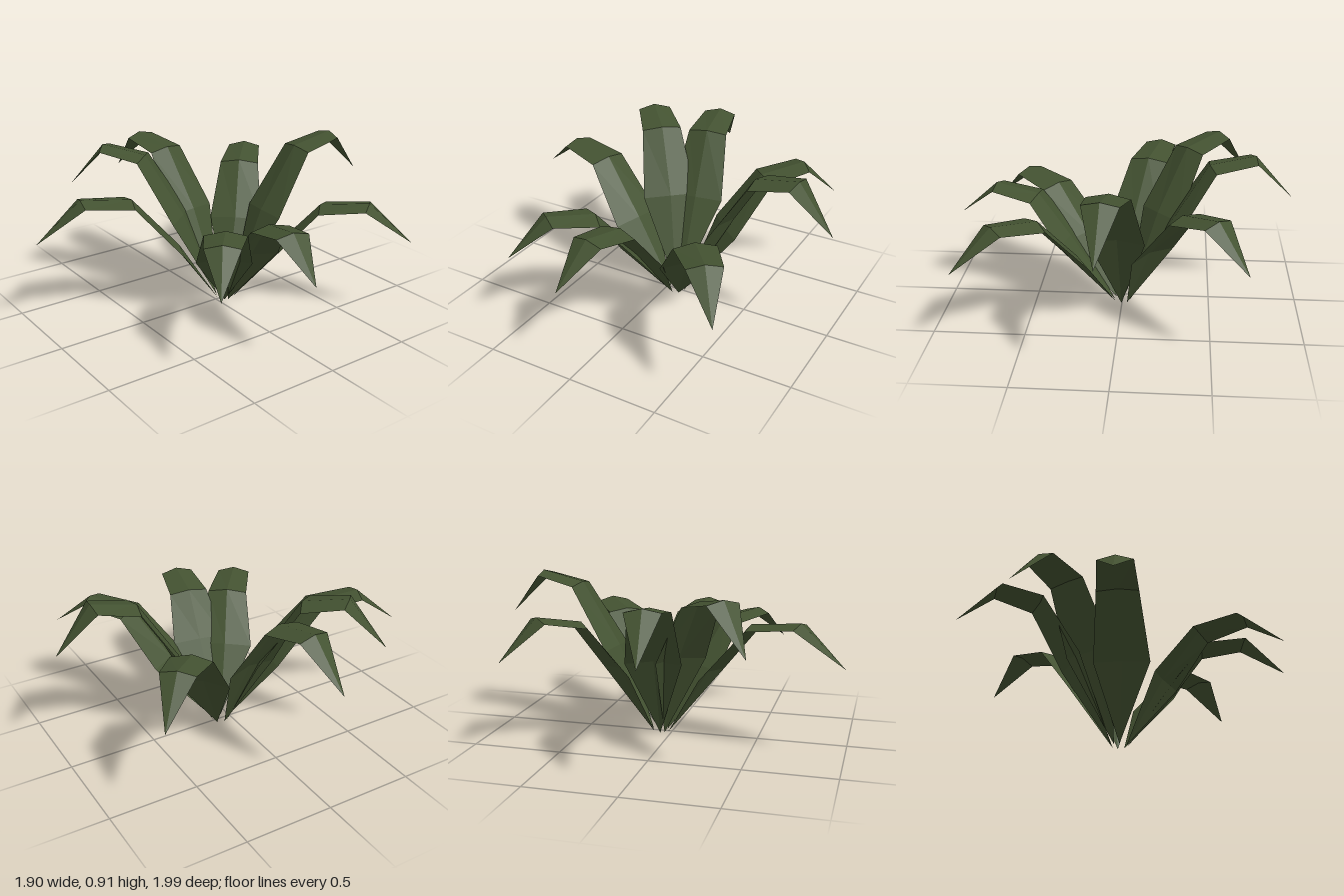
import * as THREE from 'three';

// Leaf midlines: widest point, shoulder, crest, drooping tip
const LEAVES = {
  backLeaf: [[0.015, 0.485, -0.34], [0.035, 0.835, -0.56], [0.055, 0.885, -0.785], [0.07, 0.65, -1]],
  backLeftLeaf: [[0.25, 0.35, -0.27], [0.435, 0.61, -0.41], [0.63, 0.64, -0.565], [0.83, 0.46, -0.715]],
  leftLeaf: [[0.32, 0.37, -0.02], [0.495, 0.605, 0.01], [0.72, 0.645, 0.05], [0.95, 0.465, 0.09]],
  frontLeftLeaf: [[0.23, 0.34, 0.11], [0.405, 0.59, 0.23], [0.595, 0.62, 0.39], [0.775, 0.44, 0.53]],
  frontLeaf: [[-0.05, 0.37, 0.24], [-0.125, 0.665, 0.485], [-0.19, 0.695, 0.74], [-0.25, 0.5, 0.99]],
  frontRightLeaf: [[-0.21, 0.48, 0.105], [-0.365, 0.82, 0.25], [-0.535, 0.865, 0.4], [-0.7, 0.63, 0.55]],
  rightLeaf: [[-0.29, 0.47, -0.03], [-0.495, 0.8, 0.01], [-0.725, 0.84, 0.045], [-0.95, 0.61, 0.08]],
  backRightLeaf: [[-0.18, 0.39, -0.28], [-0.345, 0.675, -0.43], [-0.51, 0.72, -0.595], [-0.67, 0.52, -0.755]],
};
const WIDTHS = [0.31, 0.23, 0.19];
const RIDGE = 0.025;

// A folded blade: three points per cross-section, a point at each end
function leafGeometry(path) {
  const points = path.map((p) => new THREE.Vector3(...p));
  const tip = points[3];
  const centre = new THREE.Vector3(0, 0, -0.065);
  const out = points[0].clone().setY(0).sub(centre).normalize();
  const base = centre.clone().addScaledVector(out, 0.045);

  const up = new THREE.Vector3(0, 1, 0);
  const forward = tip.clone().sub(points[0]).setY(0).normalize();
  const side = up.clone().cross(forward);

  const rows = WIDTHS.map((width, i) => {
    const p = points[i];
    const before = i ? points[i - 1] : base;
    const along = points[i + 1].clone().sub(before).normalize();
    const lift = along.cross(side).normalize(); // ridge rises from the blade's upper face
    return [
      p.clone().addScaledVector(side, width / 2),
      p.clone().addScaledVector(lift, RIDGE),
      p.clone().addScaledVector(side, -width / 2),
    ];
  });

  const triangles = [];
  for (let j = 0; j < 2; j++) {
    triangles.push(base, rows[0][j + 1], rows[0][j]);
    for (let i = 0; i < 2; i++) {
      const a = rows[i][j], b = rows[i][j + 1];
      const c = rows[i + 1][j], d = rows[i + 1][j + 1];
      triangles.push(b, d, c, b, c, a);
    }
    triangles.push(rows[2][j + 1], tip, rows[2][j]);
  }
  const geometry = new THREE.BufferGeometry().setFromPoints(triangles);
  geometry.computeVertexNormals();
  return geometry;
}

export function createModel() {
  const plant = new THREE.Group();
  plant.name = 'plant';
  const leafGreen = new THREE.MeshStandardMaterial({
    name: 'leafGreen', color: 0x435231, flatShading: true, side: THREE.DoubleSide,
  });
  for (const [name, path] of Object.entries(LEAVES)) {
    const leaf = new THREE.Mesh(leafGeometry(path), leafGreen);
    leaf.name = name;
    plant.add(leaf);
  }
  return plant;
}
